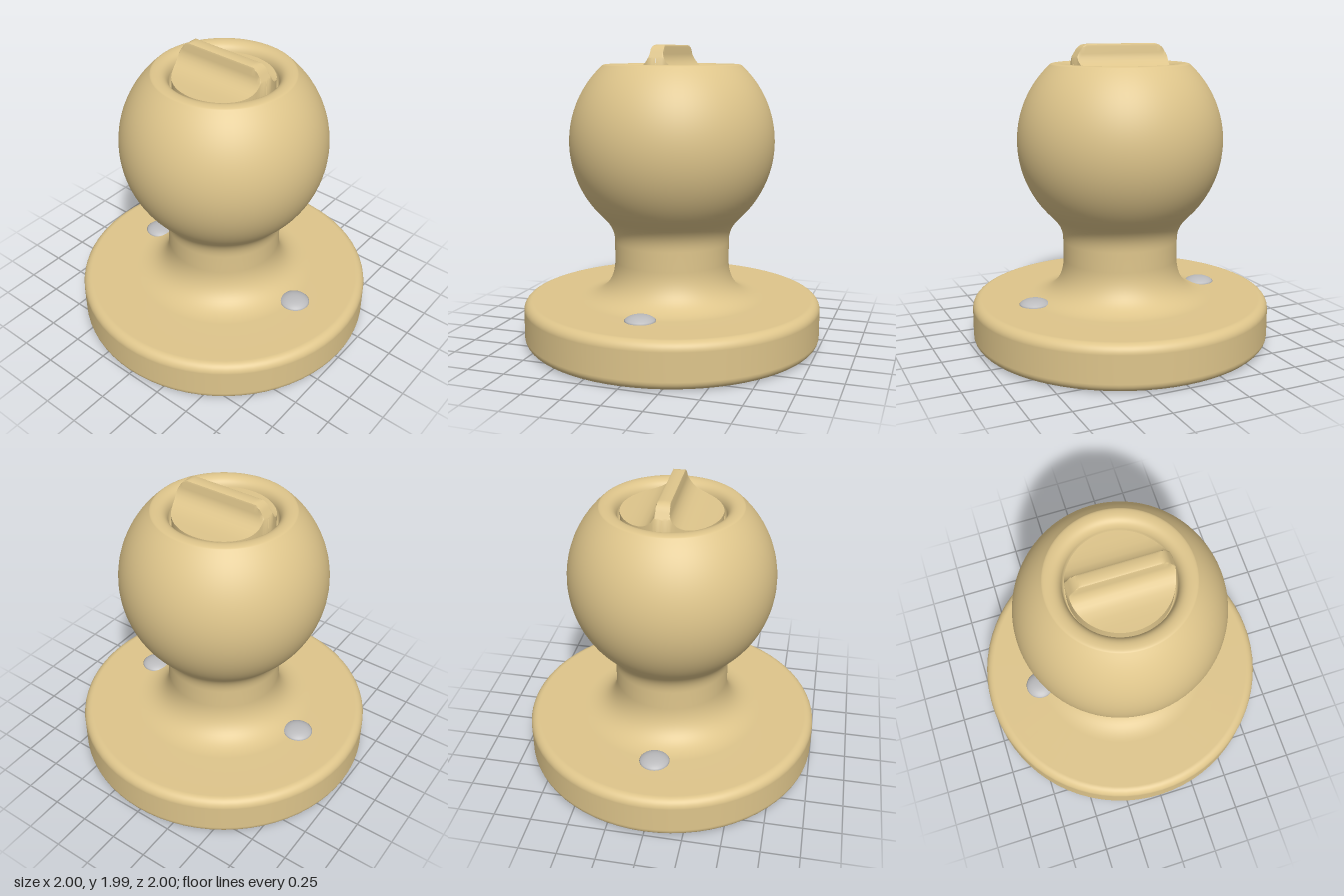
import * as THREE from 'three';
import { toCreasedNormals } from 'three/addons/utils/BufferGeometryUtils.js';

const brass = new THREE.MeshStandardMaterial({ color: 0xdec58b });
brass.name = 'brass';
const steel = new THREE.MeshStandardMaterial({ color: 0xbcbcbe });
steel.name = 'steel';
const black = new THREE.MeshStandardMaterial({ color: 0x050505 });
black.name = 'black';

function part(name, geometry, material) {
  const mesh = new THREE.Mesh(geometry, material);
  mesh.name = name;
  return mesh;
}

// Flange, neck, ball and dished top as one turned profile
function bodyGeometry() {
  const R = 0.68, cy = 1.35, a0 = -0.806, a1 = 0.83, q = Math.PI / 2;
  const p = new THREE.Path();
  p.moveTo(0.35, 0);
  p.lineTo(0.92, 0);
  p.absarc(0.94, 0.06, 0.06, -q, 0, false);
  p.absarc(0.94, 0.24, 0.06, 0, q, false);
  p.lineTo(0.92, 0.3);
  p.lineTo(0.62, 0.3);
  p.bezierCurveTo(0.47, 0.3, 0.385, 0.4, 0.385, 0.55);
  p.lineTo(0.385, 0.68);
  p.bezierCurveTo(0.385, 0.74, 0.4, 0.792, R * Math.cos(a0), cy + R * Math.sin(a0));
  p.absarc(0, cy, R, a0, a1, false);
  p.quadraticCurveTo(0.45, 1.861, 0.42, 1.861);
  p.quadraticCurveTo(0.36, 1.86, 0.345, 1.8);
  p.lineTo(0.33, 1.72);
  p.lineTo(0, 1.72);
  const points = p.getPoints(16).filter((v, i, all) => i === 0 || v.distanceTo(all[i - 1]) > 1e-4);
  return new THREE.LatheGeometry(points, 72);
}

// Round turn button whose surface sweeps up into a thin grip along x
function buttonGeometry() {
  const R = 0.325, steps = 48;
  const half = [[0, 1.985], [0.028, 1.985], [0.039, 1.98], [0.043, 1.968], [0.045, 1.925], [0.053, 1.9],
    [0.066, 1.878], [0.085, 1.859], [0.11, 1.842], [0.15, 1.829], [0.2, 1.822], [0.26, 1.82], [R, 1.82]];
  const section = [...half.slice(1).reverse().map(([z, y]) => [-z, y]), ...half];
  const heightAt = (z) => {
    const a = Math.abs(z);
    const i = Math.max(1, half.findIndex((h) => h[0] >= a));
    const [z0, y0] = half[i - 1], [z1, y1] = half[i];
    return y0 + (y1 - y0) * (a - z0) / (z1 - z0);
  };
  // Side outline of the grip: rounded shoulders, slanted ends
  const topAt = (x) => {
    const a = Math.abs(x);
    if (a < 0.235) return 1.985;
    if (a < 0.29) return 1.985 - 0.03 * ((a - 0.235) / 0.055) ** 2;
    return 1.955 - 0.055 * (a - 0.29) / 0.035;
  };
  const pos = [], index = [], n = section.length + 2;
  for (let i = 0; i <= steps; i++) {
    const x = R * Math.sin((i / steps - 0.5) * Math.PI);
    const w = Math.max(0.002, Math.sqrt(Math.max(0, R * R - x * x)));
    pos.push(x, 1.72, -w);
    for (const [z] of section) {
      const zc = Math.max(-w, Math.min(w, z));
      pos.push(x, Math.min(heightAt(zc), topAt(x)), zc);
    }
    pos.push(x, 1.72, w);
  }
  for (let i = 0; i < steps; i++) {
    for (let j = 0; j < n - 1; j++) {
      const a = i * n + j, b = a + n;
      index.push(a, a + 1, b, b, a + 1, b + 1);
    }
  }
  const g = new THREE.BufferGeometry();
  g.setAttribute('position', new THREE.Float32BufferAttribute(pos, 3));
  g.setIndex(index);
  return toCreasedNormals(g, 0.7);
}

// Low domed screw head
function screwGeometry() {
  const p = new THREE.Path();
  p.moveTo(0.1, 0.26);
  p.lineTo(0.1, 0.302);
  p.bezierCurveTo(0.08, 0.325, 0.045, 0.335, 0, 0.335);
  return new THREE.LatheGeometry(p.getPoints(10), 32);
}

export function createModel() {
  const model = new THREE.Group();
  model.name = 'doorKnob';
  model.add(part('body', bodyGeometry(), brass));
  model.add(part('turnButton', buttonGeometry(), brass));

  const screw = screwGeometry();
  for (const side of [1, -1]) {
    const mesh = part(side > 0 ? 'leftScrew' : 'rightScrew', screw, steel);
    mesh.position.x = side * 0.62;
    model.add(mesh);
  }

  // Dark spindle opening under the flange
  const opening = part('spindleOpening', new THREE.CircleGeometry(0.35, 72), black);
  opening.rotation.x = Math.PI / 2;
  model.add(opening);
  return model;
}
